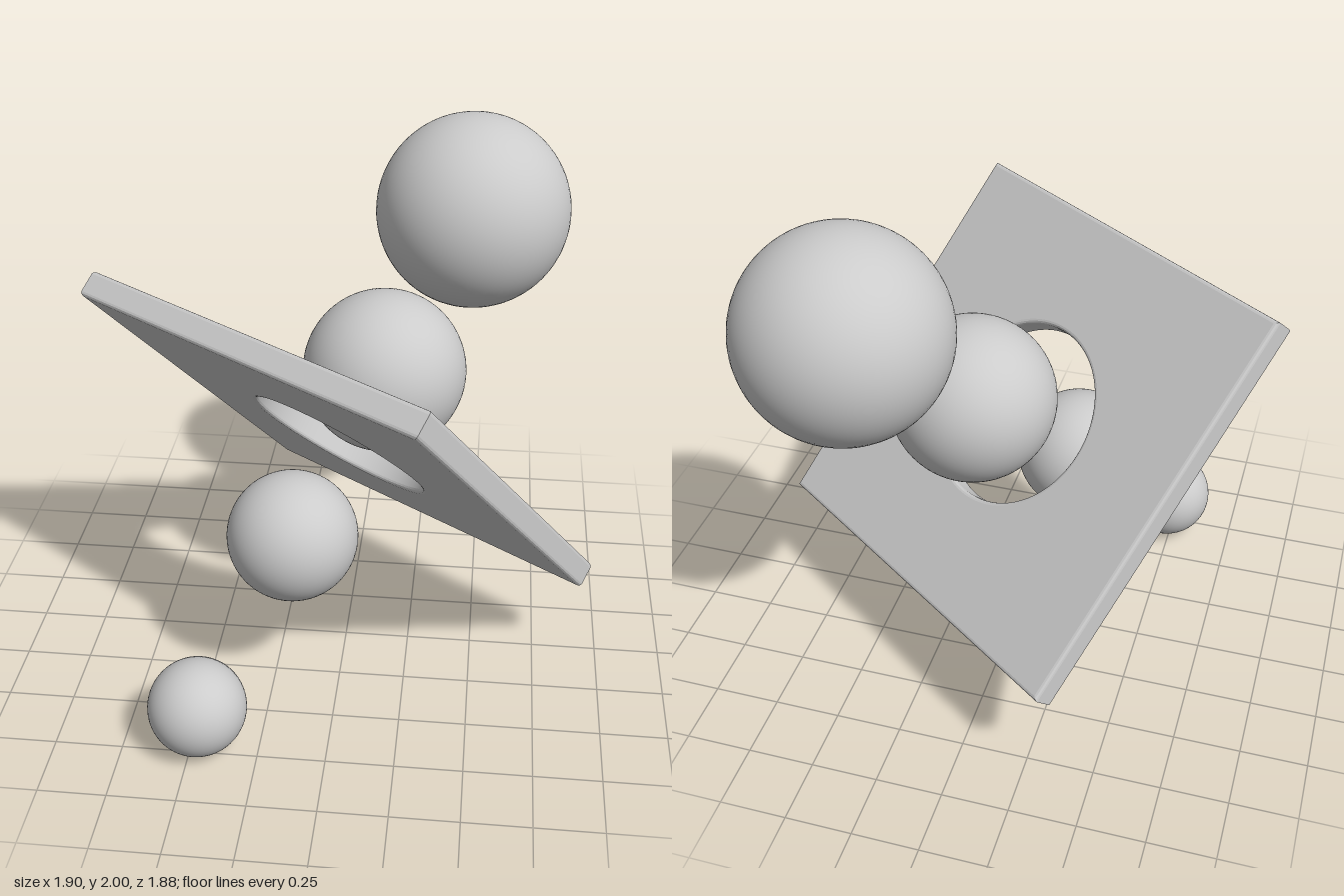
import * as THREE from 'three';
import { toCreasedNormals } from 'three/addons/utils/BufferGeometryUtils.js';

export function createModel() {
  const group = new THREE.Group();
  const material = new THREE.MeshStandardMaterial({ color: 0xcccccc });

  // Four spheres of growing size, evenly spaced along a slanted axis
  const step = new THREE.Vector3(0.3, 0.482, -0.425);
  const first = new THREE.Vector3(-0.47, 0.184, 0.706);
  [0.18, 0.243, 0.307, 0.372].forEach((radius, i) => {
    const sphere = new THREE.Mesh(new THREE.SphereGeometry(radius, 64, 40), material);
    sphere.name = `sphere${i + 1}`;
    sphere.position.copy(first).addScaledVector(step, i);
    group.add(sphere);
  });

  // Square plate with softened edges and a round hole
  const half = 0.773, thickness = 0.1, bevel = 0.014;
  const shape = new THREE.Shape([[-1, -1], [1, -1], [1, 1], [-1, 1]]
    .map(([x, y]) => new THREE.Vector2(x * half, y * half)));
  const hole = new THREE.Path();
  hole.absarc(0, 0, 0.351, 0, Math.PI * 2, true);
  shape.holes.push(hole);
  const depth = thickness - 2 * bevel;
  const geometry = new THREE.ExtrudeGeometry(shape, {
    depth, curveSegments: 72, bevelEnabled: true, bevelThickness: bevel,
    bevelSize: bevel, bevelOffset: -bevel, bevelSegments: 3,
  });
  geometry.translate(0, 0, -depth / 2);

  // The plate is perpendicular to the axis; one pair of edges is level
  const normal = step.clone().normalize();
  const level = new THREE.Vector3(0, 1, 0).cross(normal).normalize();
  const slope = normal.clone().cross(level);
  const plate = new THREE.Mesh(toCreasedNormals(geometry, 0.2), material);
  plate.name = 'plate';
  plate.quaternion.setFromRotationMatrix(new THREE.Matrix4().makeBasis(level, slope, normal));
  plate.position.set(0, 0.969, 0.042);
  group.add(plate);

  return group;
}
